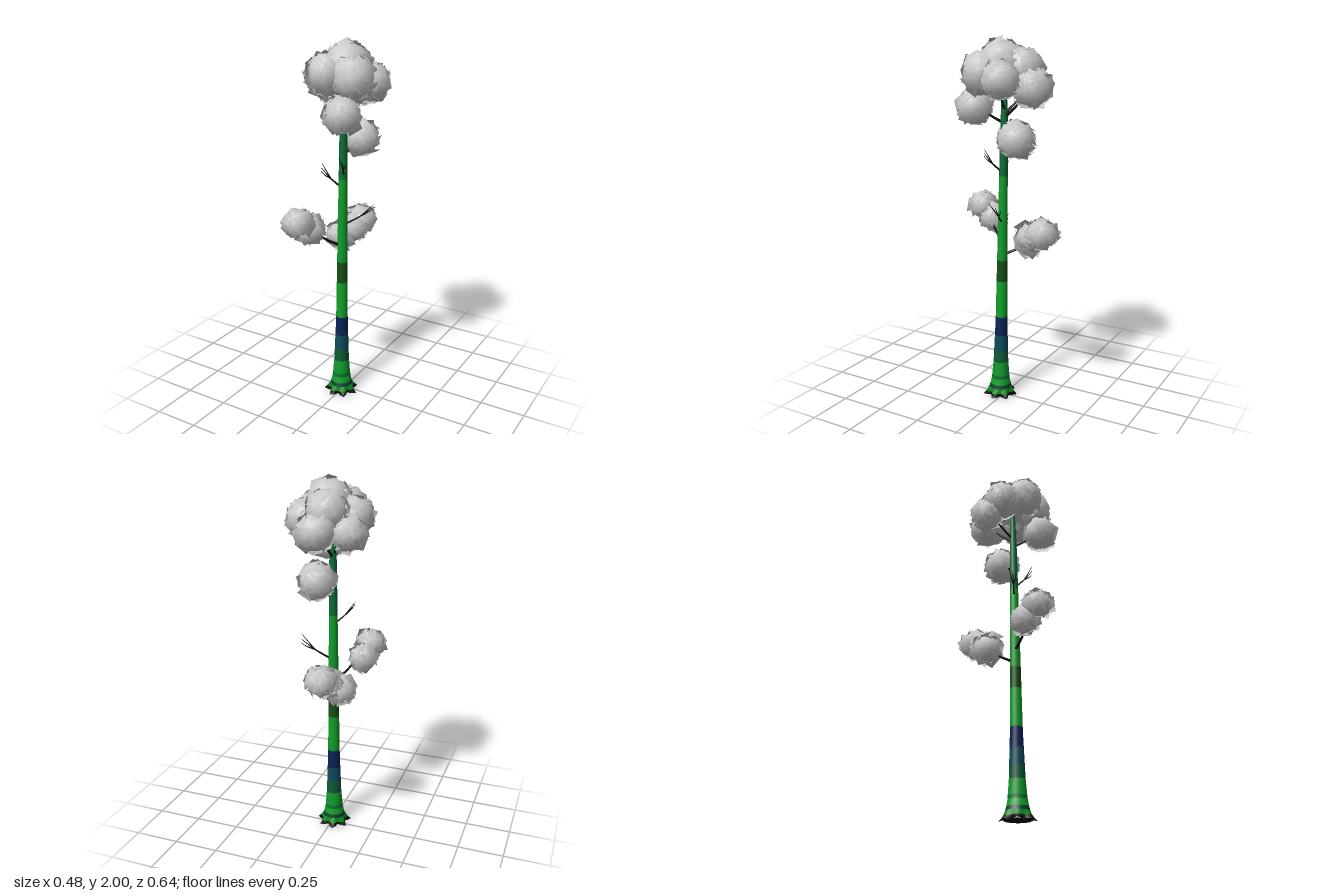
import * as THREE from 'three';
import { mergeGeometries } from 'three/addons/utils/BufferGeometryUtils.js';

const V = (x, y, z) => new THREE.Vector3(x, y, z);

// Small seeded generator
let seed = 7;
const rand = () => {
  seed = (seed * 16807) % 2147483647;
  return seed / 2147483647;
};

// Trunk profile: [height, radius]
const PROFILE = [[0, 0.088], [0.02, 0.075], [0.05, 0.06], [0.1, 0.05], [0.2, 0.042], [0.45, 0.033],
  [0.8, 0.029], [1.2, 0.024], [1.55, 0.02], [1.8, 0.012]];

function trunkRadius(y) {
  for (let i = 1; i < PROFILE.length; i++) {
    const [y0, r0] = PROFILE[i - 1], [y1, r1] = PROFILE[i];
    if (y <= y1) return r0 + (r1 - r0) * (y - y0) / (y1 - y0);
  }
  return 0.012;
}

// Trunk axis leans slightly backwards
const trunkCentre = (y) => V(-0.006, y, 0.027 - 0.016 * y);

// One stretch of trunk, its foot swelling into root lobes
function trunkBand(y0, y1) {
  const sides = 28;
  const rows = Math.max(1, Math.ceil((y1 - y0) / 0.06));
  const geo = new THREE.CylinderGeometry(1, 1, y1 - y0, sides, rows, true);
  const p = geo.attributes.position;
  for (let i = 0; i < p.count; i++) {
    const y = p.getY(i) + (y0 + y1) / 2;
    const a = Math.atan2(p.getZ(i), p.getX(i));
    const lobe = 0.24 * Math.max(0, 1 - y / 0.05) ** 1.5;
    const r = trunkRadius(y) * (1 - lobe / 2 + lobe * Math.cos(7 * a));
    const c = trunkCentre(y);
    p.setXYZ(i, c.x + r * Math.cos(a), y, c.z + r * Math.sin(a));
  }
  geo.computeVertexNormals();
  return geo;
}

// Tapering limb along a curve
function limb(points, r0, r1) {
  const curve = new THREE.CatmullRomCurve3(points);
  const seg = 8, sides = 6;
  const geo = new THREE.TubeGeometry(curve, seg, 1, sides, false);
  const p = geo.attributes.position;
  for (let i = 0; i < p.count; i++) {
    const t = Math.floor(i / (sides + 1)) / seg;
    const c = curve.getPointAt(t);
    const v = V().fromBufferAttribute(p, i).sub(c).multiplyScalar(r0 + (r1 - r0) * t).add(c);
    p.setXYZ(i, v.x, v.y, v.z);
  }
  return geo;
}

// Bare branch with a fork near its end
function deadBranch(a, b) {
  const mid = a.clone().lerp(b, 0.55).add(V(0, -0.008, 0));
  const side = b.clone().sub(a).cross(V(0, 1, 0)).multiplyScalar(0.2);
  const tip = (k, up) => b.clone().addScaledVector(side, k).add(V(0, up, 0));
  return mergeGeometries([
    limb([a, mid, b], 0.006, 0.0015),
    limb([mid, mid.clone().lerp(tip(1, 0.02), 0.5), tip(1, 0.02)], 0.004, 0.001),
    limb([mid, mid.clone().lerp(tip(-1, -0.02), 0.6), tip(-0.8, -0.012)], 0.004, 0.001),
  ]);
}

// Ball of square leaf cards lying roughly on an ellipsoid, shaded as one round mass
function leafBall([x, y, z, r, flat = 1]) {
  const n = Math.round(5200 * r * r);
  const cards = [];
  const q = new THREE.Quaternion();
  for (let i = 0; i < n; i++) {
    const h = 1 - 2 * (i + 0.5) / n, a = i * 2.39996;
    const s = Math.sqrt(1 - h * h);
    const dir = V(s * Math.cos(a), h, s * Math.sin(a));
    const facing = dir.clone().add(V(rand() - 0.5, rand() - 0.5, rand() - 0.5).multiplyScalar(0.7)).normalize();
    const size = 0.06 + 0.03 * rand();
    const card = new THREE.PlaneGeometry(size, size * (0.8 + 0.3 * rand()));
    card.rotateZ(rand() * Math.PI * 2);
    card.applyQuaternion(q.setFromUnitVectors(V(0, 0, 1), facing));
    const c = dir.multiplyScalar((r - 0.02) * (0.92 + 0.1 * rand()));
    card.translate(c.x, c.y * flat, c.z);
    const p = card.attributes.position, nor = card.attributes.normal;
    for (let k = 0; k < p.count; k++) {
      const v = V().fromBufferAttribute(p, k).normalize();
      nor.setXYZ(k, v.x, v.y, v.z);
    }
    card.translate(x, y, z);
    cards.push(card);
  }
  return mergeGeometries(cards);
}

export function createModel() {
  seed = 7;
  const tree = new THREE.Group();
  tree.name = 'tree';
  const add = (name, geo, color, side = THREE.FrontSide) => {
    const mesh = new THREE.Mesh(geo, new THREE.MeshStandardMaterial({ color, side }));
    mesh.name = name;
    tree.add(mesh);
  };

  // Trunk in coloured bark bands: [top height, colour]
  const bands = [[0.018, 0x050805], [0.045, 0x0c8a20], [0.065, 0x0a4030], [0.1, 0x10a028], [0.12, 0x0c7030],
    [0.2, 0x109a2c], [0.27, 0x0c5a34], [0.36, 0x0b4a5c], [0.47, 0x0a2254], [0.68, 0x10a028],
    [0.8, 0x145014], [1.27, 0x0f9a2a], [1.8, 0x0b6a34]];
  let y = 0;
  for (const [top, color] of bands) {
    add('trunkBark', trunkBand(y, top), color);
    y = top;
  }
  const base = trunkCentre(0);
  add('trunkUnderside', new THREE.CircleGeometry(0.075, 14).rotateX(Math.PI / 2).translate(base.x, 0.001, base.z), 0x050805);

  // Bare branches
  const dead = [
    [V(0.01, 1.02, 0.01), V(0.16, 1.13, -0.04)],
    [V(-0.01, 1.22, 0.01), V(-0.11, 1.325, 0.055)],
    [V(0, 1.29, 0.01), V(0.045, 1.39, 0.095)],
  ];
  for (const [a, b] of dead) add('bareBranch', deadBranch(a, b), 0x0a0d0a);

  // Limbs carrying foliage
  const limbs = [
    [V(-0.01, 0.89, 0.01), V(-0.06, 0.935, 0.08), V(-0.14, 1.06, 0.21)],
    [V(-0.01, 0.83, 0.01), V(-0.06, 0.87, -0.07), V(-0.03, 0.97, -0.2)],
    [V(-0.006, 1.4, 0), V(0.015, 1.43, -0.04), V(0.045, 1.48, -0.09)],
    [V(-0.006, 1.55, 0), V(0.03, 1.59, 0.06), V(0.07, 1.65, 0.13)],
    [V(-0.006, 1.6, 0), V(-0.06, 1.66, -0.04), V(-0.12, 1.74, -0.09)],
    [V(-0.006, 1.62, 0), V(0.06, 1.68, -0.02), V(0.12, 1.78, -0.04)],
    [V(-0.006, 1.58, 0), V(0, 1.65, -0.08), V(0.01, 1.74, -0.17)],
  ];
  for (const pts of limbs) add('foliageLimb', limb(pts, 0.008, 0.003), 0x0a0d0a);

  // Foliage balls: [x, y, z, radius, vertical squash]
  const crown = [[0.015, 1.86, 0.0, 0.135], [-0.05, 1.83, 0.09, 0.115], [0.09, 1.81, 0.07, 0.12],
    [0.125, 1.78, -0.05, 0.11], [0.07, 1.64, 0.135, 0.105], [-0.125, 1.73, -0.1, 0.1],
    [-0.12, 1.8, 0.0, 0.11], [0.02, 1.74, -0.18, 0.11], [-0.01, 1.83, -0.1, 0.12]];
  const backCluster = [[-0.02, 0.975, -0.215, 0.098, 0.85], [-0.035, 0.945, -0.15, 0.095, 0.9], [-0.09, 0.9, -0.11, 0.088]];
  const sideCluster = [[-0.15, 1.06, 0.225, 0.088, 0.9], [-0.135, 1.0, 0.14, 0.085]];
  const lowTuft = [[0.045, 1.475, -0.1, 0.108]];
  const foliage = { crownFoliage: crown, backFoliage: backCluster, sideFoliage: sideCluster, lowFoliage: lowTuft };
  for (const [name, balls] of Object.entries(foliage)) {
    for (const ball of balls) add(name, leafBall(ball), 0xcccccc, THREE.DoubleSide);
  }
  return tree;
}
